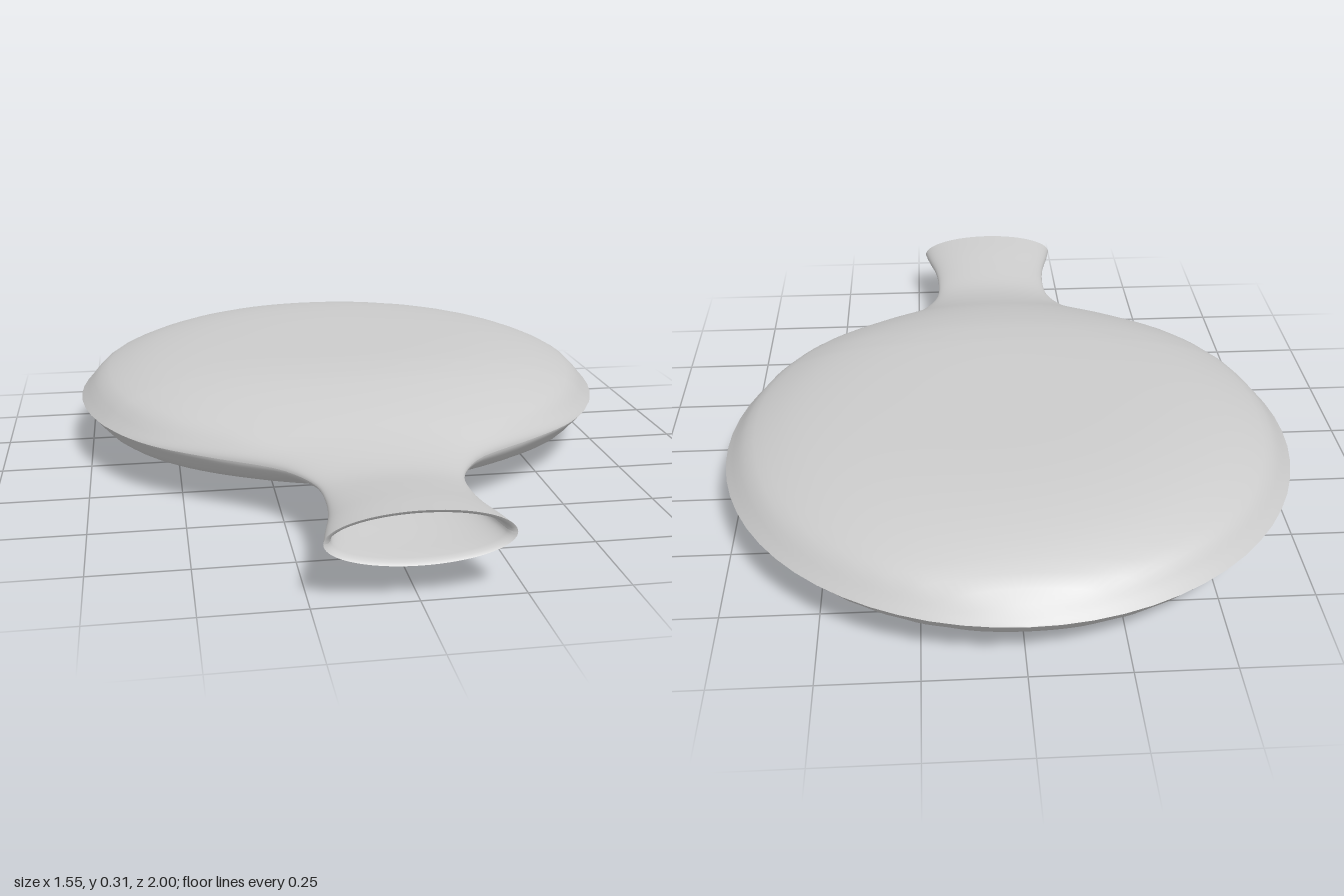
import * as THREE from 'three';

const R = 0.775, ZC = -0.225, MID = 0.153, COLS = 40;

// Smooth lookup in a short table of [position, value] pairs
function lookup(table, x) {
  const n = table.length;
  if (x <= table[0][0]) return table[0][1];
  if (x >= table[n - 1][0]) return table[n - 1][1];
  let i = 0;
  while (x > table[i + 1][0]) i++;
  const slope = (k) => {
    const a = table[Math.max(k - 1, 0)], b = table[Math.min(k + 1, n - 1)];
    return (b[1] - a[1]) / (b[0] - a[0]);
  };
  const [x0, y0] = table[i], [x1, y1] = table[i + 1], d = x1 - x0, t = (x - x0) / d;
  const t2 = t * t, t3 = t2 * t;
  return (2 * t3 - 3 * t2 + 1) * y0 + (t3 - 2 * t2 + t) * d * slope(i)
    + (3 * t2 - 2 * t3) * y1 + (t3 - t2) * d * slope(i + 1);
}

// Half height of the round bag by radius, ending in a pinched seam
const BAG = [[0, 0.152], [0.25, 0.152], [0.4, 0.146], [0.5, 0.135], [0.6, 0.114],
  [0.69, 0.08], [0.725, 0.058], [0.75, 0.028], [R, 0]];
// Half width and half height along the neck
const WIDTH = [[0.1, 0.704], [0.2, 0.648], [0.3, 0.565], [0.4, 0.435], [0.5, 0.285], [0.56, 0.23],
  [0.65, 0.186], [0.75, 0.178], [0.85, 0.187], [0.95, 0.21], [1, 0.22]];
const CROWN = [[0.1, 0.149], [0.2, 0.14], [0.3, 0.122], [0.4, 0.097], [0.5, 0.065], [0.6, 0.041],
  [0.68, 0.034], [0.8, 0.046], [0.9, 0.058], [1, 0.066]];

const halfWidth = (z) => z < 0.1
  ? Math.sqrt(Math.max(0, R * R - (z - ZC) ** 2)) : lookup(WIDTH, z);

function halfHeight(u, z) {
  const bagAt = (d) => lookup(BAG, Math.sqrt(u * u * (R * R - d * d) + d * d));
  if (z < 0.1) return bagAt(Math.abs(z - ZC));
  const d = Math.min(z - ZC, 0.6);
  const bag = bagAt(d) / lookup(BAG, d);
  const neck = Math.sqrt(Math.max(0, 1 - u * u));
  return lookup(CROWN, z) * THREE.MathUtils.lerp(bag, neck, THREE.MathUtils.smoothstep(z, 0.15, 0.6));
}

// Upper (side = 1) or lower (side = -1) skin lofted through stations {z, sx, sy}
function skin(stations, side, inward) {
  const pos = [], index = [], row = COLS + 1;
  stations.forEach(({ z, sx = 1, sy = 1 }) => {
    for (let j = 0; j <= COLS; j++) {
      const u = Math.sin((j / COLS - 0.5) * Math.PI);
      pos.push(u * halfWidth(z) * sx, MID + side * halfHeight(u, z) * sy, z);
    }
  });
  for (let i = 0; i < stations.length - 1; i++) {
    for (let j = 0; j < COLS; j++) {
      const a = i * row + j, b = a + row, c = a + 1, d = b + 1;
      if (side > 0) index.push(a, b, c, c, b, d);
      else index.push(a, c, b, c, d, b);
    }
  }
  if (inward) index.reverse();
  const g = new THREE.BufferGeometry();
  g.setAttribute('position', new THREE.Float32BufferAttribute(pos, 3));
  g.setIndex(index);
  g.computeVertexNormals();
  return g;
}

export function createModel() {
  const group = new THREE.Group();
  const material = new THREE.MeshStandardMaterial({ color: 0xcccccc, side: THREE.DoubleSide });

  // Round bag stations at even angles, then even steps down the neck
  const outer = [];
  for (let k = 0; k <= 20; k++) outer.push({ z: ZC - R * Math.cos((k * Math.PI) / 32) });
  for (let k = 1; k <= 32; k++) {
    const z = outer[20].z + (1 - outer[20].z) * (k / 32);
    outer.push({ z });
  }

  // Mouth lining: folds over the lip and runs back to a closed throat
  const lining = [{ z: 0.5, sx: 0.5, sy: 0 }, { z: 0.56, sx: 0.75, sy: 0.6 }];
  for (let k = 0; k <= 8; k++) lining.push({ z: 0.62 + k * 0.045, sx: 0.93, sy: 0.85 });
  lining.push({ z: 0.995, sx: 0.95, sy: 0.89 }, { z: 1 });

  const add = (name, geometry) => {
    const mesh = new THREE.Mesh(geometry, material);
    mesh.name = name;
    group.add(mesh);
  };
  add('upperSkin', skin(outer, 1));
  add('lowerSkin', skin(outer, -1));
  add('upperMouthLining', skin(lining, 1, true));
  add('lowerMouthLining', skin(lining, -1, true));
  return group;
}
